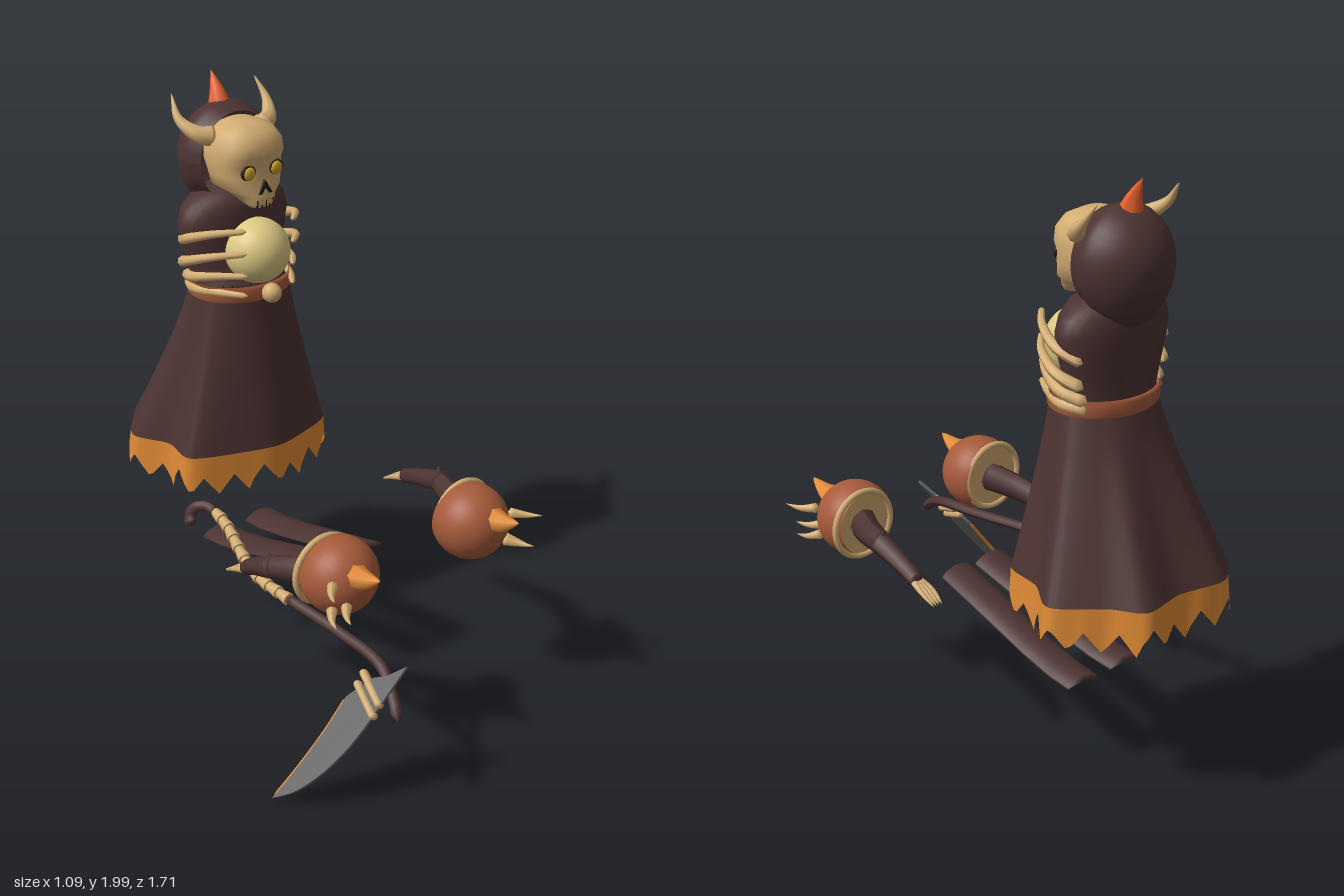
import * as THREE from 'three';

const V = (x, y, z) => new THREE.Vector3(x, y, z);
const mat = (color) => new THREE.MeshStandardMaterial({ color, side: THREE.DoubleSide });
const CLOTH = mat(0x4c3331), BONE = mat(0xd2ac72), RUST = mat(0xa65a3b), ORANGE = mat(0xe08a34);
const FLAME = mat(0xe8602c), PALE = mat(0xdcc882), STEEL = mat(0x666666), BLACK = mat(0x2a1c1a), EYE = mat(0xc9a227);
const CX = 0.097; // mirror plane of the figure

export function createModel() {
  const root = new THREE.Group();
  const add = (name, geo, material, x = 0, y = 0, z = 0) => {
    const m = new THREE.Mesh(geo, material);
    m.name = name;
    m.position.set(x, y, z);
    root.add(m);
    return m;
  };

  // Skin through closed rings of points, optionally capped
  const loft = (rings, cap = true) => {
    const n = rings[0].length, pos = [], idx = [];
    rings.forEach((r) => r.forEach((p) => pos.push(p.x, p.y, p.z)));
    for (let i = 0; i < rings.length - 1; i++) for (let j = 0; j < n; j++) {
      const a = i * n + j, b = i * n + (j + 1) % n;
      idx.push(a, a + n, b, b, a + n, b + n);
    }
    if (cap) [0, rings.length - 1].forEach((i, end) => {
      const c = rings[i].reduce((s, p) => s.add(p), V(0, 0, 0)).divideScalar(n), k = pos.length / 3;
      pos.push(c.x, c.y, c.z);
      for (let j = 0; j < n; j++) {
        const a = i * n + j, b = i * n + (j + 1) % n;
        idx.push(k, end ? b : a, end ? a : b);
      }
    });
    const g = new THREE.BufferGeometry();
    g.setAttribute('position', new THREE.Float32BufferAttribute(pos, 3));
    g.setIndex(idx);
    g.computeVertexNormals();
    return g;
  };

  // Tube whose radius follows a rule; ends close to a point
  const limb = (pts, radius, n = 20, sides = 8) => {
    const curve = new THREE.CatmullRomCurve3(pts.map((p) => V(...p)));
    const g = new THREE.TubeGeometry(curve, n, 1, sides), p = g.attributes.position, v = V(0, 0, 0);
    for (let i = 0; i <= n; i++) {
      const c = curve.getPointAt(i / n), r = i === 0 || i === n ? 0.0005 : radius(i / n);
      for (let j = 0; j <= sides; j++) {
        const k = i * (sides + 1) + j;
        v.fromBufferAttribute(p, k).sub(c).multiplyScalar(r).add(c);
        p.setXYZ(k, v.x, v.y, v.z);
      }
    }
    g.computeVertexNormals();
    return g;
  };
  const spike = (r) => (t) => r * (1 - t) ** 0.8;

  // Horizontal ring with a squareness exponent
  const ring = (y, cz, rx, rz, e = 1, n = 32) => Array.from({ length: n }, (_, i) => {
    const a = i / n * Math.PI * 2, c = Math.cos(a), s = Math.sin(a);
    return V(CX + rx * Math.sign(c) * Math.abs(c) ** e, y, cz + rz * Math.sign(s) * Math.abs(s) ** e);
  });

  // Skirt with wavy outline and a nearly upright toothed hem
  const outline = new THREE.CatmullRomCurve3([[0.475, -0.605], [0.4, -0.47], [0.37, -0.32], [0.23, -0.26], [0.1, -0.232],
    [-0.03, -0.265], [-0.21, -0.34], [-0.2, -0.48], [-0.265, -0.61], [-0.2, -0.72], [-0.065, -0.85], [0.115, -0.82],
    [0.275, -0.84], [0.345, -0.74]].map(([x, z]) => V(x, 0, z)), true, 'catmullrom', 0.4);
  const N = 120;
  const skirtRing = (yOf) => Array.from({ length: N }, (_, i) => {
    const p = outline.getPointAt(i / N), a = Math.atan2(p.z + 0.5, p.x - CX), y = yOf(i);
    const k = y < 0.73 ? 1 : 0.96 * ((1.29 - y) / 0.55) ** 1.15;
    return V(CX + 0.18 * Math.cos(a), y, -0.452 + 0.148 * Math.sin(a)).lerp(V(p.x, y, p.z), k);
  });
  add('skirt', loft([0.74, 0.82, 0.9, 1, 1.1, 1.2, 1.29].map((y) => skirtRing(() => y)), false), CLOTH);
  const tooth = (i) => 0.6 + 0.068 * Math.abs((i % 6) - 3) / 3 + 0.014 * Math.sin(Math.floor((i + 3) / 6) * 2.3);
  add('skirtHem', loft([skirtRing(tooth), skirtRing(() => 0.74)], false), ORANGE);

  // Belt band and buckle
  add('belt', loft([[1.27, 0.18], [1.278, 0.188], [1.318, 0.19], [1.328, 0.18], [1.3, 0.174]]
    .map(([y, r]) => ring(y, -0.453, r, r - 0.03)), false), RUST);
  add('buckle', new THREE.SphereGeometry(0.034, 16, 12), BONE, CX, 1.305, -0.268);

  // Torso with the orb held by the ribs
  add('torso', loft([[1.3, -0.453, 0.176, 0.146], [1.325, -0.47, 0.168, 0.128], [1.38, -0.485, 0.175, 0.115],
    [1.46, -0.485, 0.203, 0.115], [1.53, -0.485, 0.215, 0.115], [1.58, -0.485, 0.2, 0.11], [1.615, -0.485, 0.16, 0.1],
    [1.64, -0.485, 0.09, 0.07]].map(([y, cz, rx, rz]) => ring(y, cz, rx, rz))), CLOTH);
  add('chestOrb', new THREE.SphereGeometry(0.112, 32, 24), PALE, CX, 1.435, -0.347);
  [[1.545, 0.09, 0.205], [1.465, 0.09, 0.208], [1.385, 0.06, 0.19], [1.315, 0.015, 0.182]].forEach(([y, drop, w]) => [-1, 1].forEach((s) =>
    add('rib', limb([[CX + s * (w - 0.035), y - drop, -0.54], [CX + s * w, y - drop * 0.6, -0.46],
      [CX + s * (w - 0.035), y - drop * 0.2, -0.36], [CX + s * 0.095, y, -0.275]], (t) => 0.021 * (1 - 0.55 * t)), BONE)));

  // Open hood, longer at the nape and drawn in around the face
  const hood = new THREE.SphereGeometry(0.18, 32, 24, 0, Math.PI * 2, 0, 1.8).rotateX(-Math.PI / 2);
  const hp = hood.attributes.position;
  for (let i = 0; i < hp.count; i++) {
    const y = hp.getY(i), z = hp.getZ(i), f = 1 - 0.12 * THREE.MathUtils.smoothstep(z, -0.04, 0.045);
    hp.setX(i, hp.getX(i) * 0.97 * f);
    hp.setY(i, y * f * (y < 0 ? 1 + 0.25 * THREE.MathUtils.clamp(-z / 0.1, 0, 1) : 1));
  }
  hood.computeVertexNormals();
  add('hood', hood, CLOTH, CX + 0.003, 1.737, -0.5);

  // Skull: height, half width, front z, back z
  add('skull', loft([[1.603, 0.042, -0.3, -0.36], [1.617, 0.055, -0.294, -0.39], [1.64, 0.072, -0.296, -0.48],
    [1.665, 0.108, -0.302, -0.52], [1.71, 0.121, -0.312, -0.52], [1.745, 0.124, -0.312, -0.54], [1.775, 0.126, -0.298, -0.54],
    [1.815, 0.12, -0.3, -0.54], [1.85, 0.098, -0.325, -0.52], [1.872, 0.05, -0.37, -0.48]]
    .map(([y, w, f, b]) => ring(y, (f + b) / 2, w, (f - b) / 2, 0.8))), BONE);
  [-1, 1].forEach((s) => {
    add('eyeSocket', new THREE.SphereGeometry(0.031, 20, 12), BLACK, CX + s * 0.055, 1.727, -0.318).scale.set(1, 0.85, 0.35);
    add('eye', new THREE.SphereGeometry(0.023, 16, 12), EYE, CX + s * 0.055, 1.725, -0.312).scale.set(1, 1, 0.5);
    add('horn', limb([[CX + s * 0.09, 1.825, -0.45], [CX + s * 0.145, 1.838, -0.475], [CX + s * 0.18, 1.88, -0.53],
      [CX + s * 0.17, 1.952, -0.585]], (t) => 0.036 * (1 - t) + 0.002, 20, 10), BONE);
  });
  const nose = new THREE.Shape([[0, 0.025], [0.028, -0.022], [0.014, -0.022], [0, 0], [-0.014, -0.022], [-0.028, -0.022]]
    .map(([x, y]) => new THREE.Vector2(x, y)));
  add('nose', new THREE.ExtrudeGeometry(nose, { depth: 0.015, bevelEnabled: false }), BLACK, CX, 1.672, -0.312);
  for (let i = -2; i <= 2; i++)
    add('toothGap', new THREE.BoxGeometry(0.004, 0.026, 0.012), BLACK, CX + i * 0.016, 1.617, -0.3 - Math.abs(i) * 0.002);

  // Flame on the crown
  add('flame', limb([[CX, 1.885, -0.55], [CX, 1.935, -0.565], [CX, 2, -0.597]], (t) => 0.042 * (1 - t) ** 0.9, 12, 8), FLAME);

  // Legs: thin arched shells
  [-1, 1].forEach((s) => add('leg', loft([[-0.475, 0.338, 0.095], [-0.38, 0.349, 0.093], [-0.25, 0.378, 0.089],
    [-0.05, 0.435, 0.082], [0.162, 0.494, 0.075]].map(([z, y, off]) => Array.from({ length: 20 }, (_, i) => {
      const a = i / 20 * Math.PI * 2, c = Math.cos(a);
      return V(CX + s * off + 0.067 * c, y + 0.011 * Math.sin(a) - 0.018 * c * c, z);
    }))), CLOTH));

  // Shoulder guards, arms and hands
  [-1, 1].forEach((s) => {
    const px = CX + s * 0.281, py = 0.65, pz = 0.45;
    add('shoulderGuard', new THREE.SphereGeometry(0.13, 32, 20, 0, Math.PI * 2, 0, 2.1).rotateX(Math.PI / 2), RUST, px, py, pz);
    add('guardLining', new THREE.CircleGeometry(0.115, 28), BONE, px, py, 0.39);
    add('guardRim', new THREE.TorusGeometry(0.116, 0.011, 8, 32), BONE, px + s * 0.014, py, 0.392);
    add('guardFlame', limb([[px + s * 0.012, 0.69, 0.53], [px + s * 0.012, 0.7, 0.59], [px + s * 0.012, 0.73, 0.665]],
      (t) => 0.05 * (1 - t) ** 0.75, 12, 7), ORANGE);
    [[0.09, 0.035, 0.08, 0.16, 0.04, 0.175], [0.05, -0.045, 0.1, 0.11, -0.05, 0.195], [0.085, -0.06, 0.07, 0.135, -0.075, 0.155]]
      .forEach(([ax, ay, az, bx, by, bz]) => add('guardSpike', limb([[px + s * ax, py + ay, pz + az],
        [px + s * (ax + bx) / 2 + s * 0.008, py + (ay + by) / 2 - 0.006, pz + (az + bz) / 2],
        [px + s * bx, py + by, pz + bz]], spike(0.02), 10), BONE));

    const low = s < 0;
    const elbow = [CX + s * 0.365, low ? 0.59 : 0.665, 0.2], wrist = [CX + s * (low ? 0.35 : 0.375), low ? 0.505 : 0.598, low ? 0.04 : 0];
    add('upperArm', limb([[px, py, 0.42], [px + s * 0.05, (py + elbow[1]) / 2, 0.31], elbow], (t) => 0.053 - 0.015 * t), CLOTH);
    add('forearm', limb([[elbow[0], elbow[1] + 0.005, 0.22], [(elbow[0] + wrist[0]) / 2, (elbow[1] + wrist[1]) / 2 + 0.003, (0.2 + wrist[2]) / 2],
      wrist], (t) => 0.04 - 0.014 * t), CLOTH);
    add('elbowSpike', limb([elbow, [elbow[0], elbow[1] + 0.03, 0.195], [elbow[0], elbow[1] + 0.055, 0.19]], spike(0.018), 8), CLOTH);
    for (let f = 0; f < 4; f++) {
      const d = (f - 1.5) * 0.011;
      add('finger', limb([[wrist[0] + d * 0.5, wrist[1] + 0.008, wrist[2] + 0.03], [wrist[0] + d * 1.3, wrist[1] - 0.016, wrist[2] - 0.04],
        [wrist[0] + d, wrist[1] - 0.045, wrist[2] - 0.09]], (t) => 0.014 * (1 - 0.7 * t), 10, 6), BONE);
    }
  });

  // Scythe shaft, bone grip and hooked end
  add('shaft', limb([[-0.274, 0.348, 0.855], [-0.24, 0.395, 0.785], [-0.21, 0.442, 0.69], [-0.21, 0.46, 0.5], [-0.235, 0.478, 0.24]],
    () => 0.019, 30), CLOTH);
  const gripPath = new THREE.CatmullRomCurve3([[-0.235, 0.478, 0.25], [-0.25, 0.5, 0.1], [-0.24, 0.537, 0], [-0.212, 0.58, -0.12],
    [-0.205, 0.597, -0.2]].map((p) => V(...p)));
  for (let i = 0; i < 10; i++) {
    const a = gripPath.getPointAt(i / 10), b = gripPath.getPointAt((i + 1) / 10);
    const m = add('gripSegment', new THREE.CylinderGeometry(0.015, 0.023, a.distanceTo(b) * 1.1, 10), BONE);
    m.position.copy(a).lerp(b, 0.5);
    m.quaternion.setFromUnitVectors(V(0, 1, 0), b.clone().sub(a).normalize());
  }
  add('hook', limb([[-0.205, 0.597, -0.19], [-0.212, 0.602, -0.24], [-0.235, 0.588, -0.275], [-0.25, 0.56, -0.28], [-0.262, 0.532, -0.26]],
    (t) => 0.017 + 0.004 * t), CLOTH);

  // Scythe blade in its own slanted plane: shape x runs along z, shape y runs down the slope
  const blade = new THREE.Group();
  blade.name = 'scytheBlade';
  const down = V(-0.586, -0.81, 0), along = V(0, 0, 1);
  blade.quaternion.setFromRotationMatrix(new THREE.Matrix4().makeBasis(along, down, along.clone().cross(down)));
  blade.position.set(-0.2, 0.485, 0);
  const flat = (list) => list.map(([z, y]) => new THREE.Vector2(z, (0.485 - y) / 0.81));
  const outer = flat([[0.805, 0.49], [0.785, 0.38], [0.757, 0.255], [0.71, 0.15], [0.645, 0.065], [0.57, 0.01]]);
  const inner = flat([[0.57, 0.01], [0.605, 0.125], [0.63, 0.23], [0.645, 0.34]]);
  const shape = new THREE.Shape();
  shape.moveTo(outer[0].x, outer[0].y);
  shape.splineThru(outer.slice(1));
  shape.splineThru(inner.slice(1));
  flat([[0.71, 0.42], [0.75, 0.44]]).forEach((p) => shape.lineTo(p.x, p.y));
  const plate = new THREE.Mesh(new THREE.ExtrudeGeometry(shape, { depth: 0.01, bevelEnabled: false }).translate(0, 0, -0.005), STEEL);
  plate.name = 'bladePlate';
  const rim = new THREE.Mesh(limb(inner.map((p) => [p.x, p.y, 0]), () => 0.006, 20, 6), ORANGE);
  rim.name = 'bladeEdge';
  blade.add(plate, rim);
  [0.115, 0.155].forEach((u) => {
    const wrap = new THREE.Mesh(new THREE.CapsuleGeometry(0.013, 0.125, 4, 10), BONE);
    wrap.name = 'bladeWrap';
    wrap.position.set(0.718, u, 0);
    wrap.rotation.z = -Math.PI / 2 + 0.45;
    wrap.scale.z = 1.4;
    blade.add(wrap);
  });
  root.add(blade);
  return root;
}
